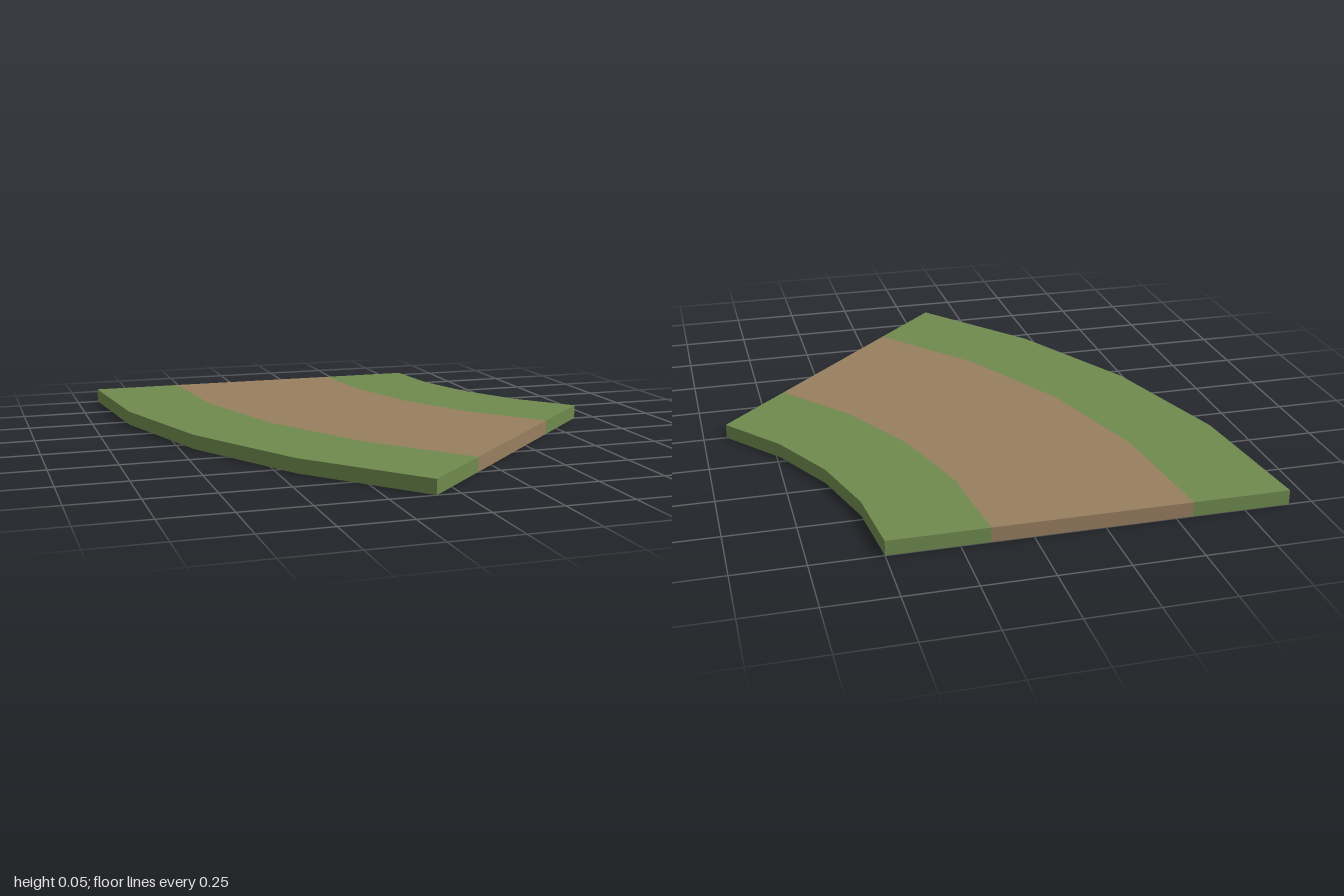
import * as THREE from 'three';

const HEIGHT = 0.054;
const INNER = Math.SQRT2;        // radius of the inner edge
const OUTER = 2 * Math.SQRT2;    // radius of the outer edge
const CENTRE_X = OUTER - 0.914;
const CENTRE_Z = -1;
const STEPS = 4;                 // facets along the 45 degree bend
const SWEEP = Math.PI / 4;

// Curved top surface between two radii with a thin skirt, open underneath
function bendStrip(name, rOut, rIn, material, walls) {
  const pos = [];
  const point = (r, i, y) => {
    const a = (i / STEPS) * SWEEP;
    return [CENTRE_X - r * Math.cos(a), y, CENTRE_Z + r * Math.sin(a)];
  };
  const quad = (a, b, c, d) => pos.push(...a, ...b, ...c, ...a, ...c, ...d);
  const H = HEIGHT;

  for (let i = 0; i < STEPS; i++) {
    const j = i + 1;
    // top
    quad(point(rOut, i, H), point(rOut, j, H), point(rIn, j, H), point(rIn, i, H));
    // outer and inner skirts
    if (walls.outer) quad(point(rOut, i, 0), point(rOut, j, 0), point(rOut, j, H), point(rOut, i, H));
    if (walls.inner) quad(point(rIn, j, 0), point(rIn, i, 0), point(rIn, i, H), point(rIn, j, H));
  }
  // back and front end skirts
  quad(point(rIn, 0, 0), point(rOut, 0, 0), point(rOut, 0, H), point(rIn, 0, H));
  quad(point(rOut, STEPS, 0), point(rIn, STEPS, 0), point(rIn, STEPS, H), point(rOut, STEPS, H));

  const geometry = new THREE.BufferGeometry();
  geometry.setAttribute('position', new THREE.Float32BufferAttribute(pos, 3));
  geometry.computeVertexNormals();
  const mesh = new THREE.Mesh(geometry, material);
  mesh.name = name;
  return mesh;
}

export function createModel() {
  const grass = new THREE.MeshStandardMaterial({ color: 0x6f8a4e, side: THREE.DoubleSide });
  grass.name = 'grass green';
  const dirt = new THREE.MeshStandardMaterial({ color: 0x987e5f, side: THREE.DoubleSide });
  dirt.name = 'dirt brown';

  // The path takes the middle half of the width
  const quarter = (OUTER - INNER) / 4;
  const group = new THREE.Group();
  group.name = 'curvedPathTile';
  group.add(
    bendStrip('outerGrass', OUTER, OUTER - quarter, grass, { outer: true }),
    bendStrip('dirtPath', OUTER - quarter, INNER + quarter, dirt, {}),
    bendStrip('innerGrass', INNER + quarter, INNER, grass, { inner: true })
  );
  return group;
}
